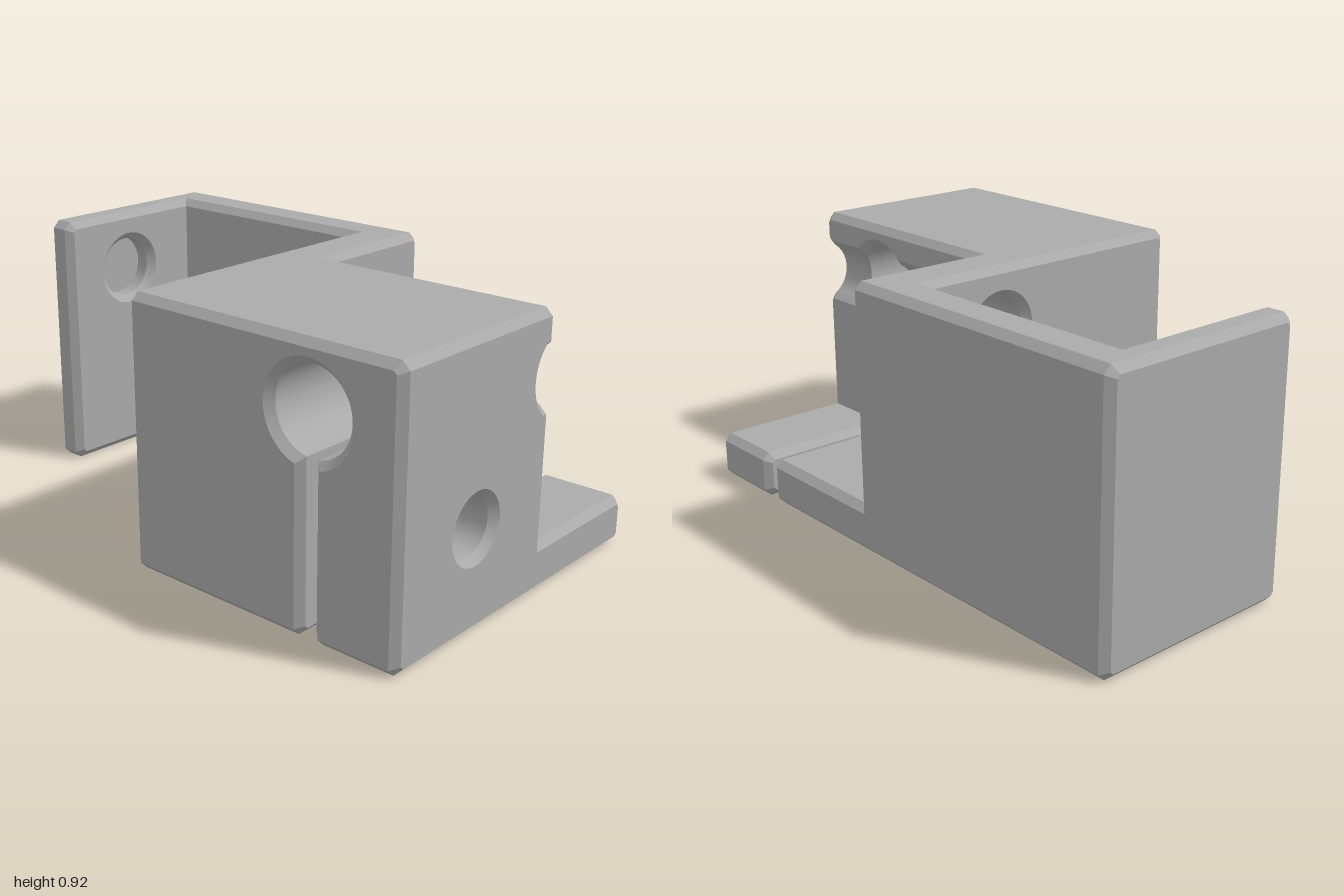
import * as THREE from 'three';
import { toCreasedNormals } from 'three/addons/utils/BufferGeometryUtils.js';

const B = 0.025; // chamfer used on every outer edge
const BORE = { x: 0.6735, y: 0.705, r: 0.14 }; // front-to-back clamp bore
const ROD = { z: -0.155, y: 0.705, r: 0.11 }; // sideways rod hole
const SLOT = 0.0215; // half width of the clamp slot

// points along an arc
function arc(cx, cy, r, a0, a1, n) {
  return Array.from({ length: n + 1 }, (_, i) => {
    const a = a0 + (a1 - a0) * i / n;
    return [cx + r * Math.cos(a), cy + r * Math.sin(a)];
  });
}
const circle = (cx, cy, r) => arc(cx, cy, r, 0, Math.PI * 2, 48).slice(0, -1);

// cut the corners whose third entry is set
function cut(pts) {
  const n = pts.length;
  return pts.flatMap((p, i) => {
    if (!p[2]) return [[p[0], p[1]]];
    return [pts[(i + n - 1) % n], pts[(i + 1) % n]].map(q => {
      const l = Math.hypot(q[0] - p[0], q[1] - p[1]);
      return [p[0] + (q[0] - p[0]) * B / l, p[1] + (q[1] - p[1]) * B / l];
    });
  });
}

// move a ring into the material on its left, with mitred corners
function inset(ring, d) {
  const n = ring.length;
  const normal = (a, b) => {
    const l = Math.hypot(b[0] - a[0], b[1] - a[1]);
    return [(a[1] - b[1]) / l, (b[0] - a[0]) / l];
  };
  return ring.map((p, i) => {
    const m = normal(ring[(i + n - 1) % n], p), k = normal(p, ring[(i + 1) % n]);
    const s = d / (1 + m[0] * k[0] + m[1] * k[1]);
    return [p[0] + (m[0] + k[0]) * s, p[1] + (m[1] + k[1]) * s];
  });
}

function finish(pos) {
  const g = new THREE.BufferGeometry();
  g.setAttribute('position', new THREE.Float32BufferAttribute(pos, 3));
  return toCreasedNormals(g, 0.5);
}

// prism from w0 to w1 with optional chamfers b0 and b1 at its two ends
function prism(outline, holes, w0, w1, b0, b1) {
  const vec = r => r.map(p => new THREE.Vector2(p[0], p[1]));
  const rings = [cut(outline), ...holes].map((r, i) =>
    THREE.ShapeUtils.isClockWise(vec(r)) === (i > 0) ? r : r.slice().reverse());
  const levels = [[w0, b0]];
  if (b0) levels.push([w0 + b0, 0]);
  if (b1) levels.push([w1 - b1, 0]);
  levels.push([w1, b1]);
  const pos = [];
  const put = (...v) => v.forEach(([p, w]) => pos.push(p[0], p[1], w));
  const sets = levels.map(([, d]) => rings.map(r => inset(r, d)));
  for (let k = 0; k + 1 < levels.length; k++) {
    const lo = levels[k][0], hi = levels[k + 1][0];
    rings.forEach((r, h) => r.forEach((_, i) => {
      const j = (i + 1) % r.length;
      const s = sets[k][h], t = sets[k + 1][h];
      put([s[i], lo], [s[j], lo], [t[j], hi], [s[i], lo], [t[j], hi], [t[i], hi]);
    }));
  }
  [[sets[0], w0, true], [sets[sets.length - 1], w1, false]].forEach(([set, w, flip]) => {
    const all = set.flat();
    const tris = THREE.ShapeUtils.triangulateShape(vec(set[0]), set.slice(1).map(vec));
    tris.forEach(([a, b, c]) => {
      const f = flip ? [c, b, a] : [a, b, c];
      put(...f.map(i => [all[i], w]));
    });
  });
  return finish(pos);
}

// prism along x, its outline given as [z, y]
function prismX(outline, holes, ...rest) {
  const flip = r => r.map(([z, y, c]) => [-z, y, c]);
  return prism(flip(outline), holes.map(flip), ...rest).rotateY(Math.PI / 2);
}

// skin over rows of points; rows go up, columns go to +x
function skin(rows) {
  const pos = [];
  for (let c = 0; c + 1 < rows[0].length; c++) {
    for (let i = 0; i + 1 < rows.length; i++) {
      const a = rows[i][c], b = rows[i][c + 1], d = rows[i + 1][c], e = rows[i + 1][c + 1];
      pos.push(...a, ...d, ...e, ...a, ...e, ...b);
    }
  }
  return finish(pos);
}

export function createModel() {
  const model = new THREE.Group();
  model.name = 'clampBracket';
  const grey = new THREE.MeshStandardMaterial({ color: 0xaaaaaa });
  grey.name = 'grey';
  const add = (name, geometry) => {
    const mesh = new THREE.Mesh(geometry, grey);
    mesh.name = name;
    model.add(mesh);
  };
  const H = 0.92;
  const rodHole = circle(ROD.z, ROD.y, ROD.r);

  // back plate
  add('backPlate', prismX([[-0.615, 0, 1], [-0.46, 0, 1], [-0.46, H, 1], [-0.615, H, 1]], [], -1, 0.13, B, B));

  // side arm with a blind rod socket
  const arm = [[-0.56, 0], [0.135, 0, 1], [0.135, H, 1], [-0.56, H]];
  add('armOuter', prismX(arm, [], -1, -0.965, B, 0));
  add('armSocket', prismX(arm, [rodHole], -0.965, -0.89, 0, B));

  // middle wall with rod hole and rectangular window
  const pocket = [[-0.24, 0.165], [-0.115, 0.165], [-0.115, 0.49], [-0.24, 0.49]];
  add('middleWall', prismX([[-0.56, 0], [0.615, 0, 1], [0.615, H, 1], [-0.56, H]],
    [rodHole, pocket], -0.05, 0.13, B, B));

  // lower clamp block and shelf, split by the slot, with a blind screw hole
  const lower = [[-0.615, 0, 1], [0.615, 0, 1], [0.615, 0.53], [-0.115, 0.53], [-0.115, 0.165], [-0.615, 0.165, 1]];
  const screw = circle(0.25, 0.337, 0.093);
  const xl = BORE.x - SLOT, xr = BORE.x + SLOT, x0 = 0.06;
  add('lowerBlock', prismX(lower, [], x0, 0.4, 0, 0));
  add('lowerBlockScrewEnd', prismX(lower, [screw], 0.4, xl, 0, B));
  add('clampCheek', prismX(lower, [screw], xr, 1, B, B));

  // upper clamp block around the bore
  const { x: cx, y: cy, r } = BORE, PI = Math.PI;
  const a = Math.asin(SLOT / r), yb = 0.48, zs = 0;
  add('upperBlock', prism([[x0, yb], [xl, yb],
    ...arc(cx, cy, r, -PI / 2 - a, -PI * 1.5 - PI + a, 48),
    [xr, yb], [1, yb], [1, H, 1], [x0, H]], [], zs, 0.615, 0, B));

  // rear of the upper block, above and below the rod groove
  const g = 0.088, t = Math.asin(g / r);
  add('upperRear', prism([[x0, cy + g], ...arc(cx, cy, r, PI - t, t, 24),
    [1, cy + g, 1], [1, H, 1], [x0, H]], [], -0.115, zs, B, 0));
  add('lowerRearInner', prism([[x0, yb], [xl, yb],
    ...arc(cx, cy, r, -PI / 2 - a, -PI + t, 12), [x0, cy - g]], [], -0.115, zs, B, 0));
  add('lowerRearOuter', prism([[xr, yb], [1, yb], [1, cy - g, 1],
    ...arc(cx, cy, r, -t, -PI / 2 + a, 12)], [], -0.115, zs, B, 0));

  // rod groove, trimmed where it meets the bore and flared at the open end
  const inner = [], outer = [], span = Math.asin(g / ROD.r);
  for (let i = 0; i <= 20; i++) {
    const th = span * (i / 10 - 1);
    const dy = ROD.r * Math.sin(th), dz = ROD.r * Math.cos(th);
    const y = cy + dy, z = ROD.z + dz, s = Math.sqrt(r * r - dy * dy);
    const ye = cy + dy * (g + B) / g, ze = ROD.z + dz * (ROD.r + B) / ROD.r;
    inner.push([[x0, y, z], [cx - s, y, z], [cx - s, y, zs]]);
    outer.push([[cx + s, y, zs], [cx + s, y, z], [1 - B, y, z], [1, ye, ze], [1, ye, zs]]);
  }
  add('grooveInner', skin(inner));
  add('grooveOuter', skin(outer));
  return model;
}
